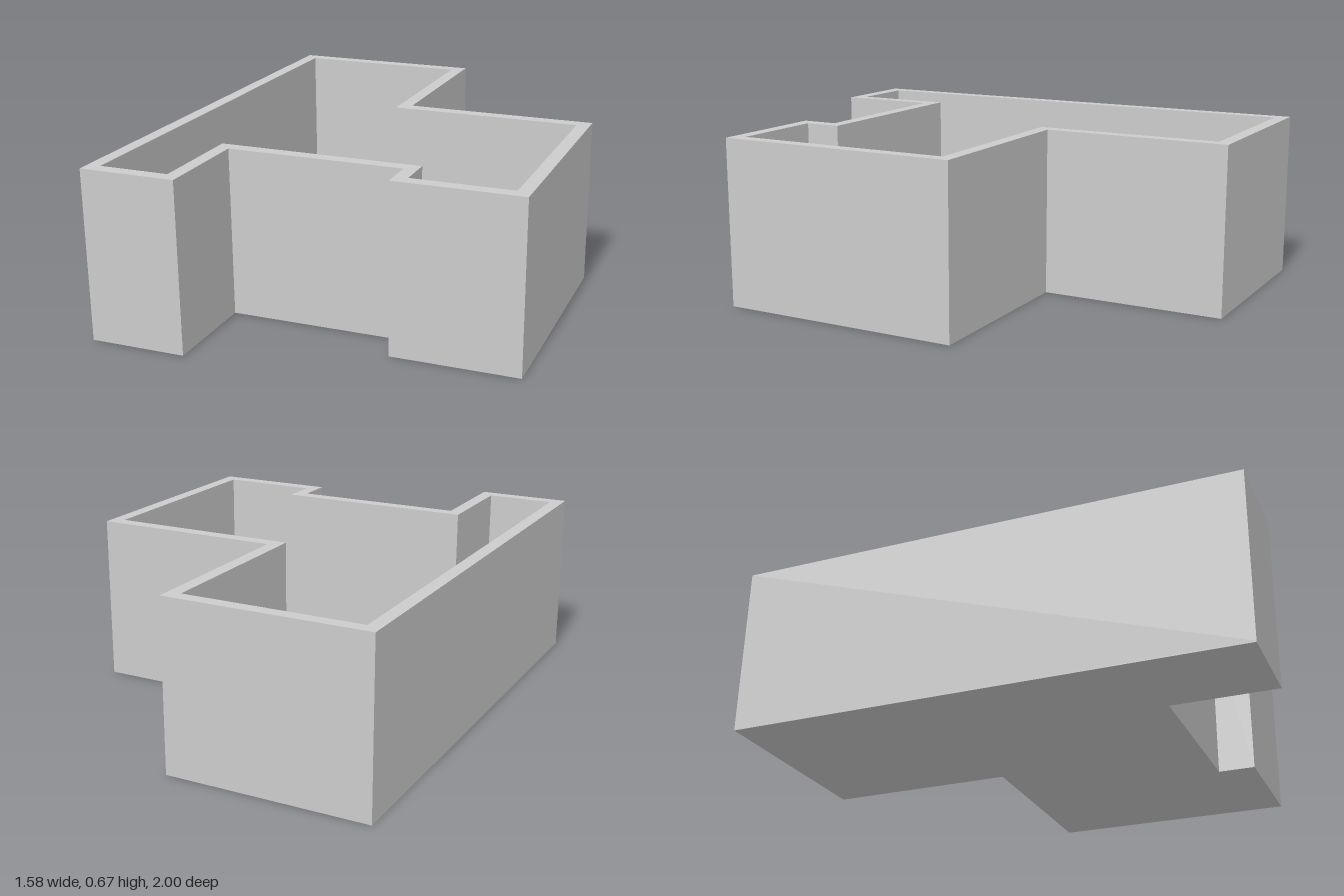
import * as THREE from 'three';

// Outer footprint as (x, z) corners
const FOOTPRINT = [
  [-0.79, -1], [0.02, -1], [0.02, -0.253], [0.79, -0.253], [0.79, 0.737],
  [0.29, 0.737], [0.29, 0.59], [-0.41, 0.59], [-0.41, 1], [-0.79, 1],
].map(([x, z]) => new THREE.Vector2(x, z));

const HEIGHT = 0.672, WALL = 0.053, FLOOR = 0.004;
const SKIRT = 0.008, SKIRT_HEIGHT = 0.025;

// Move every side of a right-angled outline inwards by d
function inset(points, d) {
  const inward = (a, b) => {
    const t = b.clone().sub(a).normalize();
    return new THREE.Vector2(-t.y, t.x);
  };
  return points.map((p, i) => {
    const prev = points.at(i - 1), next = points[(i + 1) % points.length];
    return p.clone().addScaledVector(inward(prev, p).add(inward(p, next)), d);
  });
}

// Upright slab or ring between two heights
function prism(name, outer, inner, y0, y1, material) {
  const shape = new THREE.Shape(outer);
  if (inner) shape.holes.push(new THREE.Path(inner));
  const geometry = new THREE.ExtrudeGeometry(shape, { depth: y1 - y0, bevelEnabled: false });
  geometry.rotateX(Math.PI / 2).translate(0, y1, 0);
  const mesh = new THREE.Mesh(geometry, material);
  mesh.name = name;
  return mesh;
}

export function createModel() {
  const group = new THREE.Group();
  group.name = 'roomShell';
  const material = new THREE.MeshStandardMaterial({ color: 0xcccccc, flatShading: true });
  const wallInside = inset(FOOTPRINT, WALL);
  const skirtInside = inset(FOOTPRINT, WALL + SKIRT);

  group.add(
    prism('floor', FOOTPRINT, null, 0, FLOOR, material),
    prism('walls', FOOTPRINT, wallInside, FLOOR, HEIGHT, material),
    // Low skirting board running around the foot of the walls
    prism('skirtingBoard', wallInside, skirtInside, FLOOR, SKIRT_HEIGHT, material),
  );
  return group;
}
